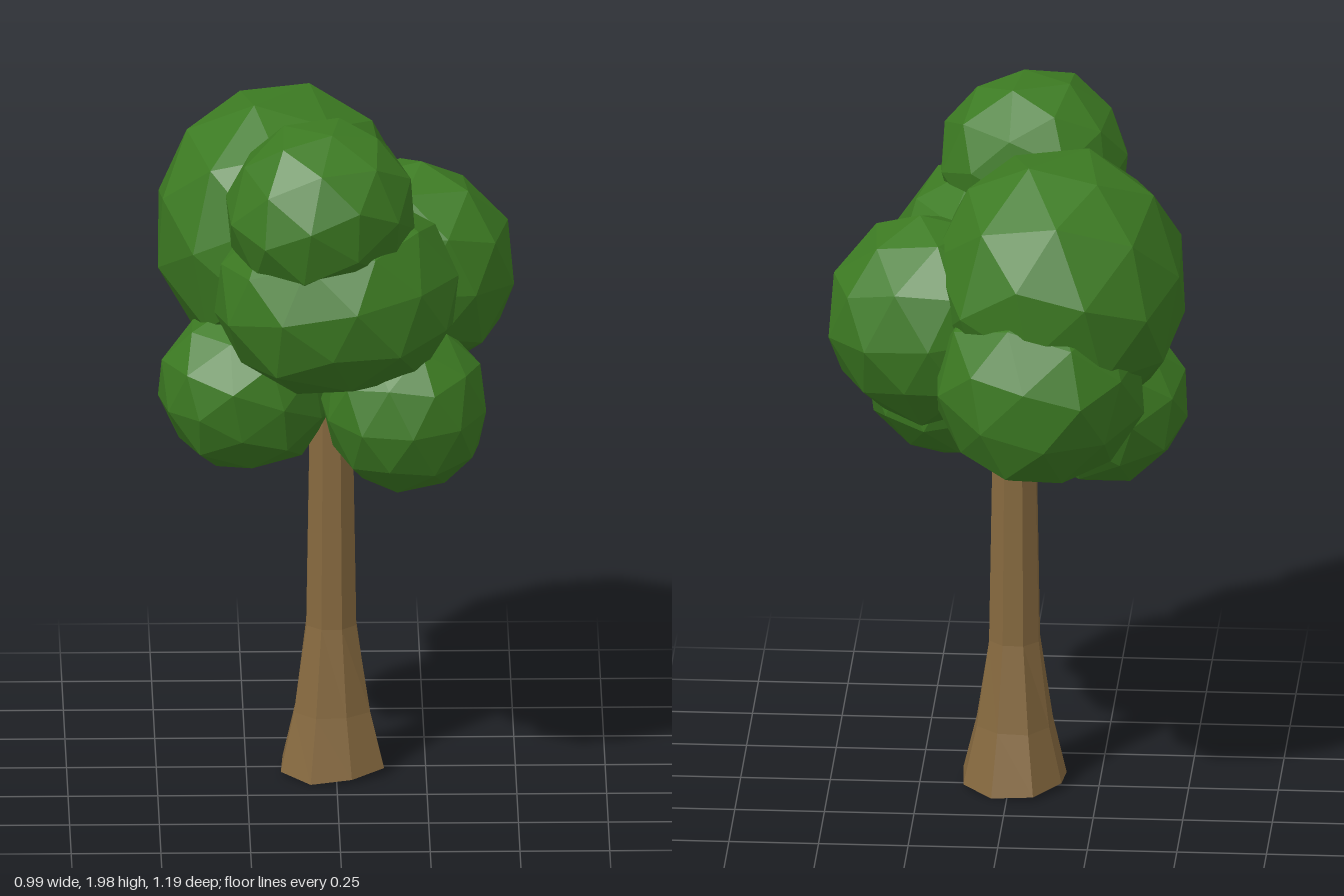
import * as THREE from 'three';

const leafMaterial = new THREE.MeshStandardMaterial({ color: 0x3c7a22, flatShading: true });
const barkMaterial = new THREE.MeshStandardMaterial({ color: 0x86693f, flatShading: true, side: THREE.DoubleSide });

// Faceted leaf clump: a low-poly ball, turned, gently dented and stretched
function leafClump(name, center, radii, turn) {
  const geometry = new THREE.IcosahedronGeometry(1, 1);
  geometry.rotateX(turn * 0.7).rotateY(turn);
  const p = geometry.attributes.position;
  const v = new THREE.Vector3();
  for (let i = 0; i < p.count; i++) {
    v.fromBufferAttribute(p, i);
    const dent = 1 + 0.035 * Math.sin(5 * v.x + turn) * Math.cos(4 * v.y - 3 * v.z + turn);
    p.setXYZ(i, v.x * dent * radii[0], v.y * dent * radii[1], v.z * dent * radii[2]);
  }
  geometry.computeVertexNormals();
  const mesh = new THREE.Mesh(geometry, leafMaterial);
  mesh.name = name;
  mesh.position.set(...center);
  return mesh;
}

// Flared trunk, open underneath, with an uneven foot
function trunk() {
  const profile = [[0.152, 0.015], [0.112, 0.18], [0.075, 0.43], [0.065, 1.0], [0.06, 1.35]]
    .map(([r, y]) => new THREE.Vector2(r, y));
  const geometry = new THREE.LatheGeometry(profile, 8, Math.PI / 8);
  const p = geometry.attributes.position;
  for (let i = 0; i < p.count; i++) {
    const angle = Math.atan2(p.getZ(i), p.getX(i));
    if (p.getY(i) < 0.3) {
      const flare = 1 + 0.05 * Math.sin(3 * angle + 1);
      p.setX(i, p.getX(i) * flare);
      p.setZ(i, p.getZ(i) * flare);
    }
    if (p.getY(i) < 0.1) p.setY(i, 0.01 + 0.01 * Math.sin(2 * angle + Math.PI / 4));
  }
  geometry.computeVertexNormals();
  const mesh = new THREE.Mesh(geometry, barkMaterial);
  mesh.name = 'trunk';
  mesh.position.set(-0.013, 0, 0.018);
  return mesh;
}

export function createModel() {
  const tree = new THREE.Group();
  tree.name = 'tree';

  const foliage = new THREE.Group();
  foliage.name = 'foliage';
  foliage.add(
    leafClump('topFrontClump', [-0.045, 1.735, 0.32], [0.27, 0.265, 0.265], 0.4),
    leafClump('middleFrontClump', [0, 1.48, 0.27], [0.35, 0.29, 0.33], 1.1),
    leafClump('lowerRightClump', [-0.25, 1.135, 0.05], [0.25, 0.24, 0.25], 2.0),
    leafClump('lowerLeftClump', [0.19, 1.145, 0.25], [0.235, 0.25, 0.25], 2.9),
    leafClump('upperBackClump', [-0.15, 1.55, -0.15], [0.36, 0.39, 0.4], 0.8),
    leafClump('lowerBackClump', [-0.1, 1.32, -0.31], [0.3, 0.3, 0.3], 3.6),
    leafClump('leftClump', [0.21, 1.43, -0.12], [0.3, 0.3, 0.28], 1.6)
  );

  tree.add(trunk(), foliage);
  return tree;
}
